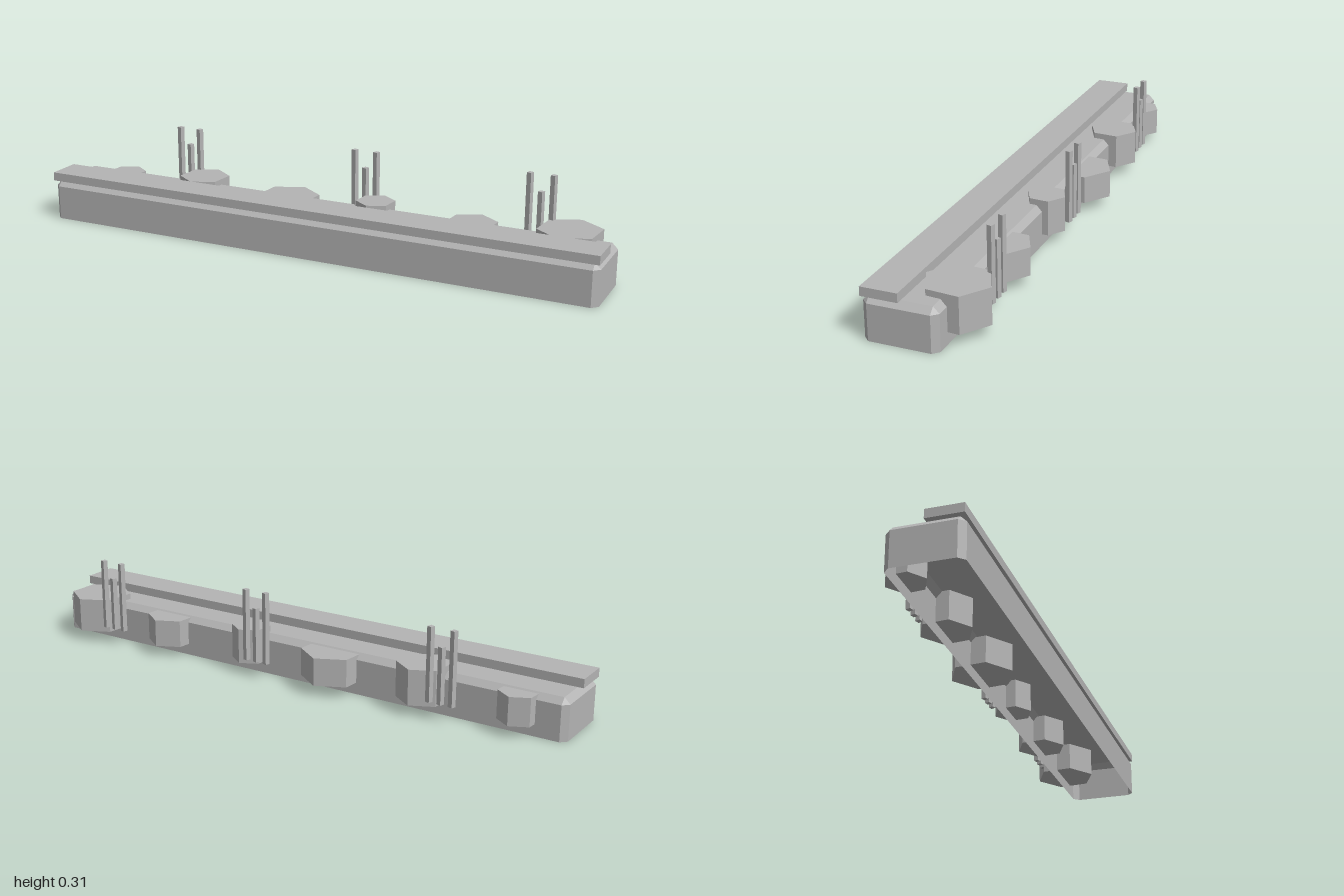
import * as THREE from 'three';

const stone = new THREE.MeshStandardMaterial({ color: 0xb4b4b4, flatShading: true, side: THREE.DoubleSide });
stone.name = 'plain grey';

// Beam shell: chamfered corners, bevelled top, open underneath
function beamGeometry(hx, hz, wallTop, top, c) {
  const ring = [];
  for (const [sx, sz] of [[1, 1], [1, -1], [-1, -1], [-1, 1]]) {
    const onSide = [sx * hx, sz * (hz - c)], onFace = [sx * (hx - c), sz * hz];
    const inner = [sx * (hx - c), sz * (hz - c)];
    const pair = [{ p: onFace, inner }, { p: onSide, inner }];
    ring.push(...(sx * sz > 0 ? pair : pair.reverse()));
  }
  const pos = [];
  const tri = (...pts) => pts.forEach((p) => pos.push(...p));
  const n = ring.length;
  for (let i = 0; i < n; i++) {
    const a = ring[i], b = ring[(i + 1) % n];
    const at = (p, y) => [p[0], y, p[1]];
    const a0 = at(a.p, 0), b0 = at(b.p, 0), a1 = at(a.p, wallTop), b1 = at(b.p, wallTop);
    const a2 = at(a.inner, top), b2 = at(b.inner, top);
    tri(a0, b0, b1, a0, b1, a1);
    tri(a1, b1, b2);
    if (a.inner !== b.inner) {
      tri(a1, b2, a2);
      tri(a2, b2, [0, top, 0]);
    }
  }
  const geo = new THREE.BufferGeometry();
  geo.setAttribute('position', new THREE.Float32BufferAttribute(pos, 3));
  geo.computeVertexNormals();
  return geo;
}

export function createModel() {
  const model = new THREE.Group();
  model.name = 'edgingBeam';
  const add = (name, geo, x, y, z, turn = 0) => {
    const mesh = new THREE.Mesh(geo, stone);
    mesh.name = name;
    mesh.position.set(x, y, z);
    mesh.rotation.y = THREE.MathUtils.degToRad(turn);
    model.add(mesh);
  };

  add('beam', beamGeometry(1, 0.12, 0.12, 0.14, 0.02), 0, 0, 0.05);
  add('topPlank', new THREE.BoxGeometry(2, 0.03, 0.12), 0, 0.155, 0.11);

  // Six-sided stones along the back: x, radius, top
  const stones = [
    [-0.84, 0.067, 0.135], [-0.508, 0.088, 0.16], [-0.17, 0.108, 0.135],
    [0.163, 0.067, 0.16], [0.508, 0.088, 0.135], [0.84, 0.108, 0.16],
  ];
  for (const [x, r, top] of stones) {
    const h = top - 0.04;
    add('hexStone', new THREE.CylinderGeometry(r, r, h, 6), x, 0.04 + h / 2, -0.063, -5);
  }

  // Clusters of three thin square stalks
  const foot = 0.06;
  for (const cx of [-0.605, 0.095, 0.72]) {
    for (const [dx, top] of [[-0.04, 0.31], [0, 0.25], [0.04, 0.31]]) {
      const h = top - foot;
      add('stalk', new THREE.CylinderGeometry(0.012, 0.012, h, 4), cx + dx, foot + h / 2, -0.13, 28);
    }
  }
  return model;
}
